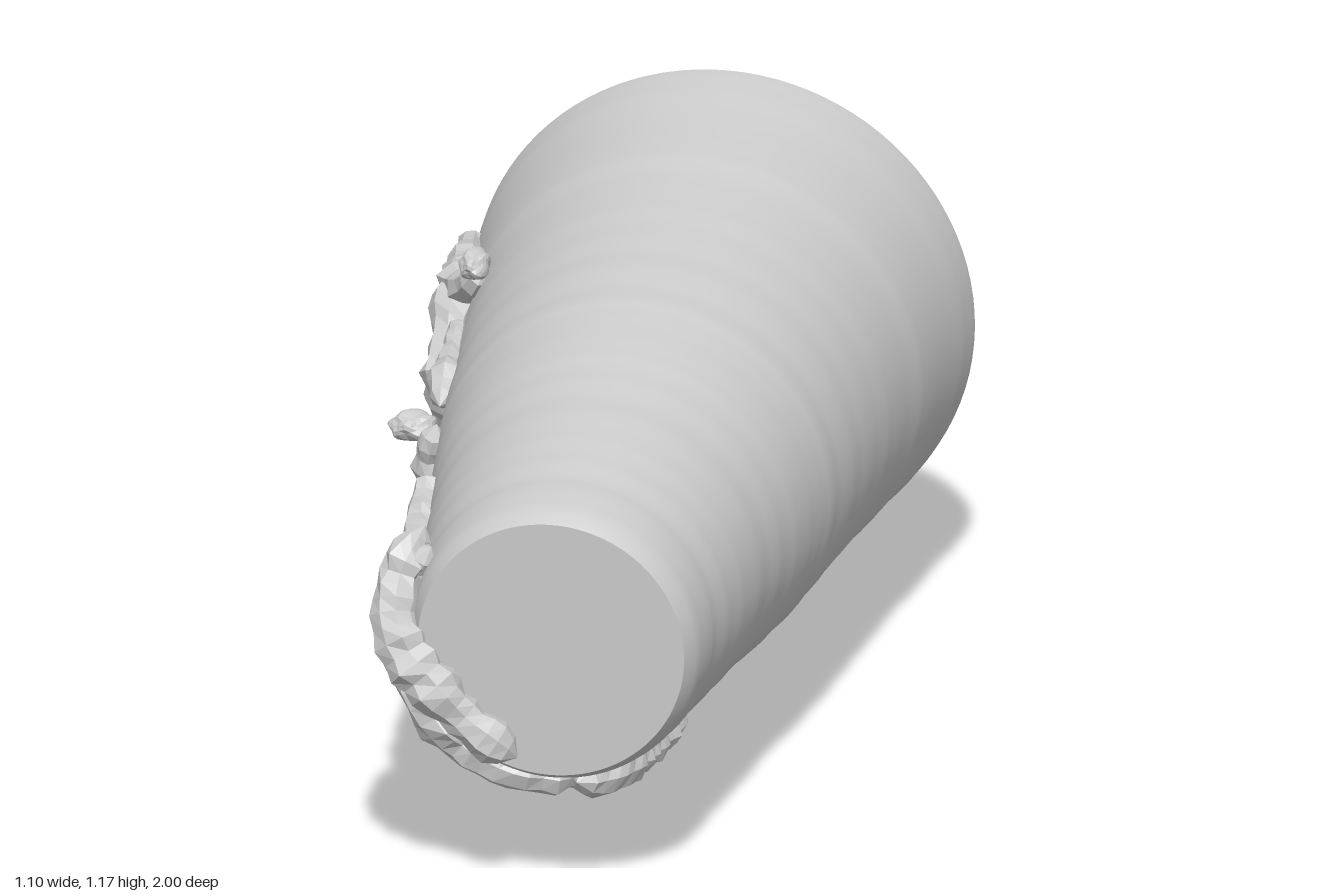
import * as THREE from 'three';

const FRONT = new THREE.Vector3(-0.03, 0.575, 0.92);
const BACK = new THREE.Vector3(0.015, 0.636, -0.983);
const LENGTH = FRONT.distanceTo(BACK);

// outer radius along the cup, t = 0 at the closed front, 1 at the open rim
const KEYS = [[0, 0.285], [0.012, 0.3], [0.04, 0.314], [0.1, 0.322], [0.17, 0.342], [0.27, 0.365],
  [0.38, 0.398], [0.49, 0.427], [0.65, 0.458], [0.82, 0.494], [0.97, 0.531], [1, 0.537]];
function cupRadius(t) {
  const i = Math.max(1, KEYS.findIndex(k => k[0] >= Math.min(t, 1)));
  const [a, ra] = KEYS[i - 1], [b, rb] = KEYS[i];
  return THREE.MathUtils.lerp(ra, rb, (t - a) / (b - a));
}

// repeatable noise, -1..1
const noise = n => { const s = Math.sin(n * 127.1 + 11.7) * 43758.5453; return (s - Math.floor(s)) * 2 - 1; };

// point clinging to the cup wall at an angle (degrees, seen from the front) and depth z
function onCup(angle, z, lift = 0.012) {
  const t = THREE.MathUtils.clamp((FRONT.z - z) / (FRONT.z - BACK.z), 0, 1);
  const c = FRONT.clone().lerp(BACK, t), a = THREE.MathUtils.degToRad(angle), r = cupRadius(t) + lift;
  return new THREE.Vector3(c.x + Math.cos(a) * r, c.y + Math.sin(a) * r, z);
}

// lumpy tapered strand through points with a radius at each
function strandGeometry(points, radii, seed) {
  const curve = new THREE.CatmullRomCurve3(points), sides = 8;
  const rings = Math.max(10, Math.round(curve.getLength() / 0.03));
  const frames = curve.computeFrenetFrames(rings, false);
  const pos = [], index = [];
  for (let i = 0; i <= rings; i++) {
    const u = i / rings, k = curve.getUtoTmapping(u) * (radii.length - 1), j = Math.min(Math.floor(k), radii.length - 2);
    const end = Math.sqrt(Math.max(0, 1 - Math.pow(Math.abs(2 * u - 1), 20)));
    const r = THREE.MathUtils.lerp(radii[j], radii[j + 1], k - j) * end * (1 + 0.16 * noise(seed + i));
    const c = curve.getPointAt(u);
    for (let s = 0; s < sides; s++) {
      const a = s / sides * Math.PI * 2, rr = r * (1 + 0.14 * noise(seed * 3 + i * sides + s));
      const p = c.clone().addScaledVector(frames.normals[i], Math.cos(a) * rr)
        .addScaledVector(frames.binormals[i], Math.sin(a) * rr);
      pos.push(p.x, p.y, p.z);
      if (i < rings) {
        const n = (s + 1) % sides, o = i * sides;
        index.push(o + s, o + n, o + sides + s, o + n, o + sides + n, o + sides + s);
      }
    }
  }
  const g = new THREE.BufferGeometry();
  g.setAttribute('position', new THREE.Float32BufferAttribute(pos, 3));
  g.setIndex(index);
  const flat = g.toNonIndexed();
  flat.computeVertexNormals();
  return flat;
}

export function createModel() {
  const model = new THREE.Group();
  const grey = new THREE.MeshStandardMaterial({ color: 0xcccccc });
  grey.name = 'grey';
  const add = (name, geometry, parent = model) => {
    const m = new THREE.Mesh(geometry, grey);
    m.name = name;
    parent.add(m);
    return m;
  };

  // ridged cup: separate lathes keep the edges sharp
  const cup = new THREE.Group();
  cup.name = 'cup';
  cup.position.copy(FRONT);
  cup.quaternion.setFromUnitVectors(new THREE.Vector3(0, 1, 0), BACK.clone().sub(FRONT).normalize());
  model.add(cup);
  const lathe = (name, pts) => add(name, new THREE.LatheGeometry(pts.map(p => new THREE.Vector2(...p)), 96), cup);
  const outer = [], inner = [], N = 60, wall = 0.075, floor = 0.05;
  for (let i = 0; i <= N; i++) {
    const t = i / N, rim = i === 0 || i === N ? 0 : 1;
    outer.push([cupRadius(t) + rim * 0.003 * noise(i), t * LENGTH]);
    const ti = 1 - t * (1 - floor);
    inner.push([cupRadius(ti) - wall + rim * 0.003 * noise(i + 200), ti * LENGTH]);
  }
  lathe('cupBase', [[0, 0], outer[0]]);
  lathe('cupOuterWall', outer);
  lathe('cupRim', [outer[N], inner[0]]);
  lathe('cupInnerWall', inner);
  lathe('cupFloor', [inner[N], [0, inner[N][1]]]);

  // clinging strands: [angle, z, radius, lift]
  const strands = {
    // side of the wide end
    rearTopStrand: [[148, -0.5, 0.03], [156, -0.54, 0.035], [162, -0.64, 0.05, 0.02], [164, -0.76, 0.045, 0.02],
      [165, -0.94, 0.025]],
    rearSideStrand: [[161, -0.66, 0.045, 0.03], [168, -0.58, 0.05, 0.025], [180, -0.48, 0.045, 0.02],
      [190, -0.56, 0.045, 0.02], [199, -0.7, 0.045, 0.025], [207, -0.84, 0.05, 0.02],
      [220, -0.89, 0.06, 0.025], [234, -0.85, 0.075, 0.05]],
    rearRimSpur: [[196, -0.92, 0.02], [206, -0.88, 0.04, 0.03], [220, -0.8, 0.055, 0.03], [234, -0.78, 0.06, 0.04]],
    rearSideChunk: [[164, -0.5, 0.02], [166, -0.36, 0.025], [167, -0.24, 0.04], [170, -0.16, 0.025]],
    // web under the wide end
    rearLowerStrand: [[230, -0.88, 0.07, 0.05], [248, -0.92, 0.05, 0.02], [264, -0.9, 0.04], [280, -0.82, 0.035]],
    rearLowerWeb: [[230, -0.78, 0.07, 0.05], [250, -0.8, 0.05, 0.025], [266, -0.78, 0.045, 0.02], [281, -0.7, 0.04, 0.02]],
    rearLowerBranch: [[228, -0.7, 0.05, 0.03], [248, -0.68, 0.045, 0.02], [264, -0.65, 0.045, 0.02], [278, -0.54, 0.035]],
    // middle
    middleStrand: [[164, 0.03, 0.03], [178, 0, 0.035], [196, -0.04, 0.035], [212, -0.05, 0.035],
      [228, -0.03, 0.035], [240, -0.02, 0.03]],
    middleBranch: [[190, -0.04, 0.025], [203, -0.14, 0.035], [217, -0.22, 0.04], [235, -0.28, 0.04],
      [255, -0.34, 0.04], [270, -0.36, 0.035]],
    middleLowerStalk: [[262, -0.5, 0.03], [266, -0.4, 0.035, 0.02], [270, -0.26, 0.035, 0.02], [273, -0.1, 0.02]],
    // narrow end
    frontOuterStrand: [[146, 0.84, 0.03], [160, 0.8, 0.045], [176, 0.74, 0.05], [194, 0.7, 0.05],
      [212, 0.7, 0.05], [232, 0.7, 0.05], [255, 0.67, 0.045], [275, 0.66, 0.045, 0.02], [293, 0.65, 0.04, 0.02]],
    frontSideBranch: [[168, 0.22, 0.03], [175, 0.34, 0.035], [182, 0.48, 0.045], [192, 0.58, 0.05], [210, 0.6, 0.05],
      [232, 0.58, 0.045], [255, 0.52, 0.045, 0.02], [276, 0.5, 0.04, 0.025], [290, 0.48, 0.035, 0.03]],
    frontLowerStrand: [[180, 0.78, 0.045], [196, 0.82, 0.055], [212, 0.84, 0.055], [230, 0.82, 0.05], [248, 0.82, 0.045],
      [264, 0.8, 0.04], [282, 0.76, 0.04, 0.02]],
    frontLowerBranch: [[225, 0.6, 0.04], [236, 0.5, 0.04], [246, 0.4, 0.035], [254, 0.28, 0.025]],
    frontLowerStalk: [[278, 0.87, 0.035], [288, 0.72, 0.045, 0.03], [289, 0.5, 0.035, 0.045], [289, 0.32, 0.03, 0.05],
      [288, 0.15, 0.01, 0.045]],
  };
  let seed = 1;
  for (const [name, rows] of Object.entries(strands)) {
    add(name, strandGeometry(rows.map(([a, z, , lift]) => onCup(a, z, lift)), rows.map(r => r[2]), seed += 50));
  }

  // strand folding over the closed end
  const over = [[-0.32, 0.79, 0.79], [-0.37, 0.68, 0.84], [-0.36, 0.58, 0.9], [-0.29, 0.49, 0.93],
    [-0.2, 0.4, 0.93], [-0.1, 0.33, 0.925]];
  add('frontFaceStrand', strandGeometry(over.map(p => new THREE.Vector3(...p)), [0.03, 0.05, 0.055, 0.055, 0.045, 0.042], 700));

  // irregular lumps: centre, half sizes and the level where the underside is flattened
  const lumps = {
    rearFoot: [[-0.35, 0.11, -0.81], [0.115, 0.137, 0.135], -0.8],
    middleKnob: [[-0.485, 0.69, -0.04], [0.055, 0.035, 0.05], -1],
    rearKnob: [[-0.435, 0.88, -0.51], [0.035, 0.035, 0.055], -1],
  };
  for (const [name, [centre, size, flat]] of Object.entries(lumps)) {
    const g = new THREE.IcosahedronGeometry(1, 3), p = g.attributes.position;
    for (let i = 0; i < p.count; i++) {
      const x = p.getX(i), y = p.getY(i), z = p.getZ(i);
      const k = 0.93 + 0.12 * Math.sin(5 * x + 3 * z) * Math.cos(4 * y - 2 * z);
      p.setXYZ(i, x * k, Math.max(y * k, flat), z * k);
    }
    g.scale(...size);
    g.computeVertexNormals();
    add(name, g).position.set(...centre);
  }
  return model;
}
